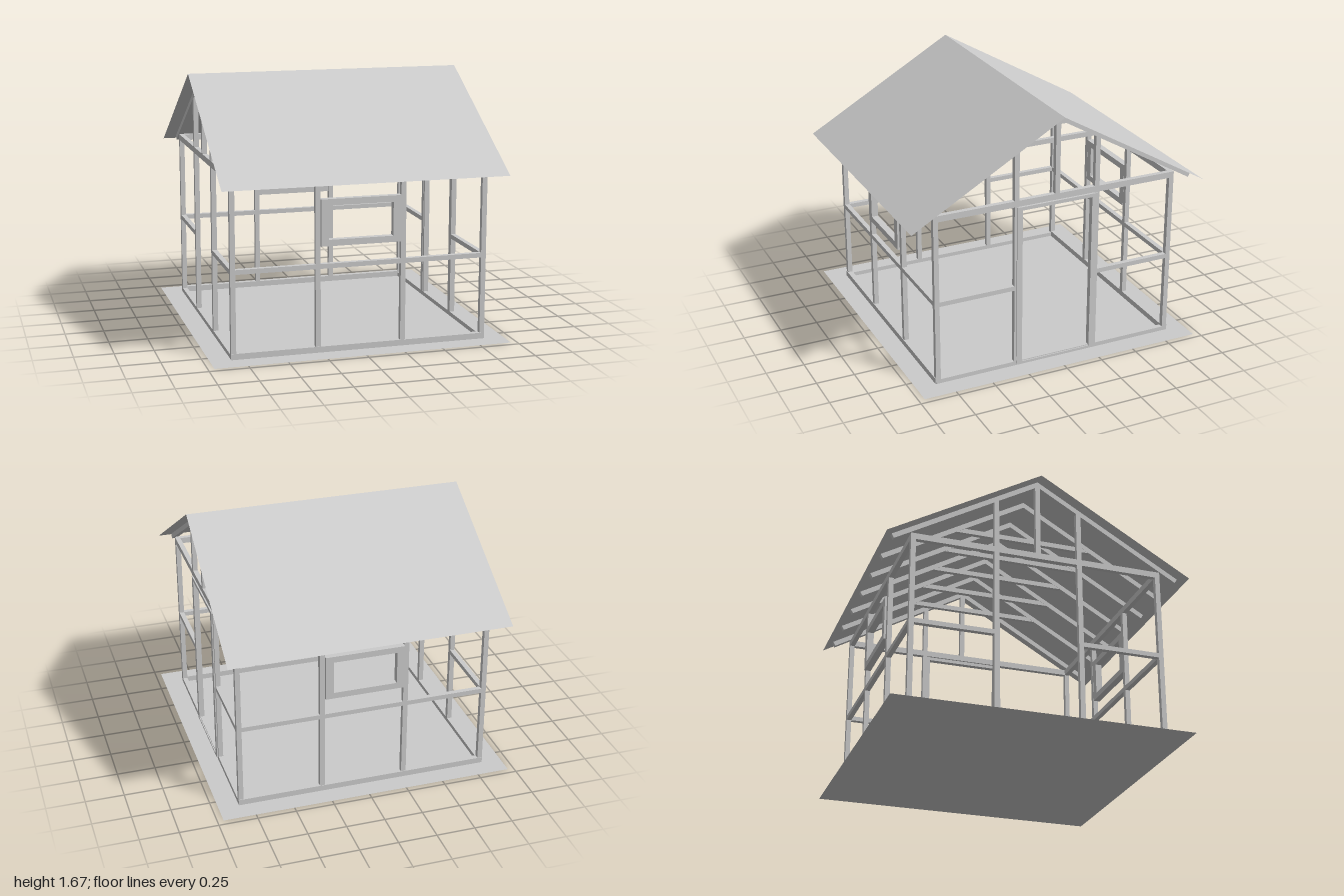
import * as THREE from 'three';

const material = new THREE.MeshStandardMaterial({ color: 0xcccccc, flatShading: true });
const sheet = new THREE.MeshStandardMaterial({ color: 0xcccccc, side: THREE.DoubleSide });

// Box given by its minimum and maximum on each axis
function beam(parent, name, [x0, x1], [y0, y1], [z0, z1]) {
  const mesh = new THREE.Mesh(new THREE.BoxGeometry(x1 - x0, y1 - y0, z1 - z0), material);
  mesh.position.set((x0 + x1) / 2, (y0 + y1) / 2, (z0 + z1) / 2);
  mesh.name = name;
  parent.add(mesh);
  return mesh;
}
const around = (c, w) => [c - w / 2, c + w / 2];
const span = (a, b) => [Math.min(a, b), Math.max(a, b)];

const T = 0.032;            // timber thickness
const W = 0.813;            // wall centre line
const STUD = 0.276;         // stud offset from the middle
const RIDGE = 1.667;
const SLOPE = 0.577;
const ANGLE = Math.atan(SLOPE);
const roofY = z => RIDGE - SLOPE * Math.abs(z);

// Long wall with sill, rail, plate, studs and window frame
function sideWall(s) {
  const wall = new THREE.Group();
  wall.name = s > 0 ? 'frontWall' : 'backWall';
  const z = around(s * W, T);
  beam(wall, 'sill', [-0.828, 0.828], [0.002, 0.04], span(s * 0.797, s * 0.833));
  beam(wall, 'topPlate', [-0.829, 0.829], [1.104, 1.144], z);
  for (const x of [-W, -STUD, STUD, W]) beam(wall, 'post', around(x, T), [0.002, 1.104], z);
  for (const x of [-0.5445, 0, 0.5445])
    beam(wall, 'midRail', around(x, x ? 0.505 : 0.52), [0.537, 0.567], z);

  const shape = new THREE.Shape();
  shape.moveTo(-0.26, 0.68).lineTo(0.257, 0.68).lineTo(0.257, 0.975).lineTo(-0.26, 0.975).closePath();
  const hole = new THREE.Path();
  hole.moveTo(-0.21, 0.72).lineTo(-0.21, 0.935).lineTo(0.205, 0.935).lineTo(0.205, 0.72).closePath();
  shape.holes.push(hole);
  const frame = new THREE.Mesh(
    new THREE.ExtrudeGeometry(shape, { depth: 0.044, bevelEnabled: false }), material);
  frame.position.z = s > 0 ? 0.798 : -0.842;
  frame.name = 'windowFrame';
  wall.add(frame);
  return wall;
}

// Gable wall with studs, tie beam and king post
function gableWall(s) {
  const wall = new THREE.Group();
  wall.name = s > 0 ? 'leftGable' : 'rightGable';
  const x = around(s * W, T);
  beam(wall, 'sill', x, [0.002, 0.03], [-0.8, 0.8]);
  beam(wall, 'tieBeam', x, [1.104, 1.144], [-0.825, 0.825]);
  for (const m of [-1, 1]) {
    beam(wall, 'stud', x, [0.03, 1.104], around(m * STUD, T));
    beam(wall, 'midRail', x, [0.537, 0.567], span(m * 0.292, m * 0.8));
    beam(wall, 'gableStud', x, [1.144, roofY(0.29) - 0.015], around(m * STUD, T));
  }
  beam(wall, 'kingPost', x, [1.144, RIDGE - 0.03], around(0, T));
  return wall;
}

// Door frame set in the left gable
function doorFrame() {
  const door = new THREE.Group();
  door.name = 'doorFrame';
  const x = [0.8, 0.836];
  for (const m of [-1, 1]) beam(door, 'jamb', x, [0.012, 1.1], span(m * 0.24, m * 0.277));
  beam(door, 'lintel', x, [1.077, 1.1], [-0.24, 0.24]);
  beam(door, 'threshold', x, [0.012, 0.024], [-0.24, 0.24]);
  return door;
}

// Rafter pairs with collar ties, plus two thin roof sheets
function roof() {
  const group = new THREE.Group();
  group.name = 'roof';
  for (let i = -3; i <= 3; i++) {
    const x = i * W / 3;
    // Chevron outline running down both slopes, square cut at the eaves
    const e = 0.952, drop = T / Math.cos(ANGLE);
    const dz = T * Math.sin(ANGLE), dy = T * Math.cos(ANGLE), top = RIDGE - 0.003;
    const endY = top - SLOPE * e;
    const shape = new THREE.Shape();
    shape.moveTo(0, top).lineTo(-e, endY).lineTo(-e + dz, endY - dy)
      .lineTo(0, top - drop).lineTo(e - dz, endY - dy).lineTo(e, endY).closePath();
    const rafter = new THREE.Mesh(
      new THREE.ExtrudeGeometry(shape, { depth: T, bevelEnabled: false }), material);
    rafter.rotation.y = Math.PI / 2;
    rafter.position.x = x - T / 2;
    rafter.name = 'rafterPair';
    group.add(rafter);
    if (Math.abs(i) < 3) beam(group, 'collarTie', around(x, T * 0.9), [1.364, 1.396], [-0.465, 0.465]);
  }
  for (const s of [-1, 1]) {
    const panel = new THREE.Mesh(new THREE.PlaneGeometry(1.82, Math.hypot(1, SLOPE)), sheet);
    panel.rotation.x = s > 0 ? -Math.PI / 2 + ANGLE : -Math.PI / 2 - ANGLE;
    panel.position.set(0, RIDGE - SLOPE / 2, s * 0.5);
    panel.name = s > 0 ? 'frontRoofSheet' : 'backRoofSheet';
    group.add(panel);
  }
  return group;
}

export function createModel() {
  const model = new THREE.Group();
  model.name = 'timberFrameShed';
  const ground = new THREE.Mesh(new THREE.PlaneGeometry(1.92, 1.92), sheet);
  ground.rotation.x = -Math.PI / 2;
  ground.name = 'floorSheet';
  model.add(ground);
  for (const s of [-1, 1]) model.add(sideWall(s), gableWall(s));
  model.add(doorFrame(), roof());
  return model;
}
